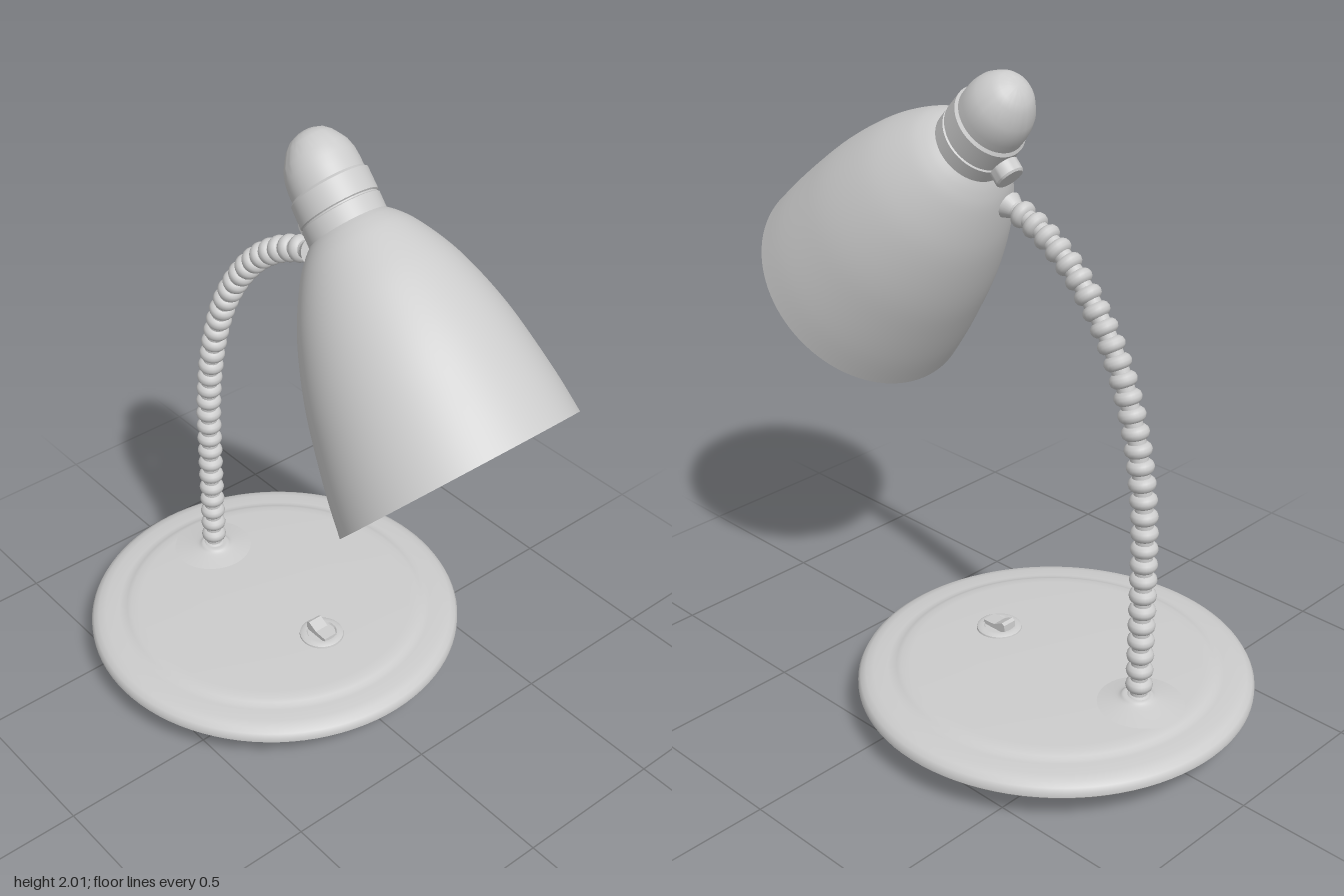
import * as THREE from 'three';
import { toCreasedNormals } from 'three/addons/utils/BufferGeometryUtils.js';

const grey = new THREE.MeshStandardMaterial({ color: 0xcccccc });
const thin = new THREE.MeshStandardMaterial({ color: 0xcccccc, side: THREE.DoubleSide });

const points = (pairs) => pairs.map(([x, y]) => new THREE.Vector2(x, y));

function add(parent, name, geometry, material = grey) {
  const mesh = new THREE.Mesh(geometry, material);
  mesh.name = name;
  parent.add(mesh);
  return mesh;
}

// Turned part with sharp edges where the profile bends strongly
function turned(pairs, segments = 64) {
  return toCreasedNormals(new THREE.LatheGeometry(points(pairs), segments), 0.6);
}

// Turned part with a flowing profile
function turnedSmooth(pairs, steps = 32, segments = 72) {
  const curve = new THREE.SplineCurve(points(pairs));
  return new THREE.LatheGeometry(curve.getPoints(steps), segments);
}

function createBase() {
  const base = new THREE.Group();
  base.name = 'base';
  base.position.x = -0.25;
  // Round plate with a rolled edge and a raised inner disc
  add(base, 'basePlate', turned([
    [0, 0.1], [0.617, 0.1], [0.625, 0.108], [0.625, 0.122], [0.617, 0.136], [0.6, 0.147],
    [0.575, 0.153], [0.53, 0.155], [0.515, 0.156], [0.503, 0.162], [0.488, 0.167],
    [0.46, 0.169], [0.25, 0.173], [0, 0.176],
  ], 96));
  // Flared foot where the stem enters the plate
  const foot = add(base, 'stemFoot', turnedSmooth(
    [[0.15, 0.168], [0.1, 0.177], [0.06, 0.186], [0.045, 0.195], [0.03, 0.196]], 16, 40));
  foot.position.x = -0.335;
  // Rocker switch in a round bezel
  const toggle = new THREE.Group();
  toggle.name = 'switch';
  toggle.position.set(0.25, 0.17, 0);
  add(toggle, 'switchBezel', turned(
    [[0.074, 0], [0.072, 0.008], [0.062, 0.014], [0.05, 0.014], [0.046, 0.008], [0, 0.008]], 40));
  const profile = new THREE.Shape(points(
    [[-0.048, 0], [0.048, 0], [0.046, 0.022], [0.0, 0.024], [-0.035, 0.042], [-0.046, 0.036]]));
  const rocker = add(toggle, 'switchRocker',
    new THREE.ExtrudeGeometry(profile, { depth: 0.05, bevelEnabled: false }));
  rocker.position.z = -0.025;
  base.add(toggle);
  return base;
}

function createStem() {
  const stem = new THREE.Group();
  stem.name = 'stem';
  const path = new THREE.CatmullRomCurve3([
    [-0.59, 0.002], [-0.59, 0.3], [-0.59, 0.6], [-0.585, 0.8], [-0.565, 0.95], [-0.535, 1.08],
    [-0.48, 1.23], [-0.4, 1.365], [-0.3, 1.48], [-0.2, 1.555], [-0.11, 1.6], [-0.045, 1.62],
  ].map(([x, y]) => new THREE.Vector3(x, y, 0)));
  add(stem, 'stemCore', new THREE.TubeGeometry(path, 80, 0.027, 16), thin);

  // Gooseneck rings threaded along the path
  const ring = new THREE.TorusGeometry(0.02, 0.022, 12, 28);
  const axis = new THREE.Vector3(0, 0, 1);
  const length = path.getLength();
  const count = Math.round(length / 0.0535);
  for (let i = 0; i < count; i++) {
    const u = (0.022 + (i / count) * (length - 0.022)) / length;
    const bead = add(stem, 'stemRing', ring);
    bead.position.copy(path.getPointAt(u));
    bead.quaternion.setFromUnitVectors(axis, path.getTangentAt(u));
  }
  // Flared open end
  const end = add(stem, 'stemEnd', new THREE.CylinderGeometry(0.042, 0.026, 0.03, 28), thin);
  end.position.copy(path.getPointAt(1)).addScaledVector(path.getTangentAt(1), -0.01);
  end.quaternion.setFromUnitVectors(new THREE.Vector3(0, 1, 0), path.getTangentAt(1));
  return stem;
}

function createHead() {
  const head = new THREE.Group();
  head.name = 'lampHead';
  // Tilted frame of the head: origin at the shade mouth, y towards the cap
  const tilt = new THREE.Matrix4().makeBasis(
    new THREE.Vector3(0.68, 0.7335, 0),
    new THREE.Vector3(-0.6735, 0.7445, -0.025),
    new THREE.Vector3(0, 0, 1),
  ).setPosition(0.6175, 1.2125, 0.022);
  const part = (name, geometry, material) => add(head, name, geometry.applyMatrix4(tilt), material);

  // Bell-shaped open shade
  part('shade', turnedSmooth([
    [0.373, 0], [0.36, 0.11], [0.34, 0.23], [0.318, 0.34], [0.29, 0.44], [0.256, 0.535],
    [0.22, 0.61], [0.178, 0.68], [0.145, 0.72], [0.118, 0.745],
  ], 40, 96), thin);
  // Lamp socket inside the shade
  part('socket', turned([[0, 0.67], [0.07, 0.67], [0.07, 0.64], [0.1, 0.64], [0.112, 0.75]]), thin);
  // Collar joining shade and cap
  part('collar', turned([
    [0.11, 0.725], [0.121, 0.74], [0.121, 0.79], [0.116, 0.793], [0.116, 0.797],
    [0.121, 0.8], [0.12, 0.865], [0.112, 0.873],
  ]));
  // Rounded end cap
  part('cap', turned([
    [0.112, 0.86], [0.112, 0.9], [0.109, 0.93], [0.1, 0.96], [0.086, 0.983], [0.073, 1.002],
    [0.055, 1.019], [0.03, 1.03], [0, 1.034],
  ]));
  // Clamping knob on the underside of the collar
  const knob = turned([
    [0.025, 0.09], [0.025, 0.122], [0.046, 0.122], [0.046, 0.158], [0.041, 0.164], [0, 0.164],
  ], 32);
  part('knob', knob.rotateZ(Math.PI / 2).translate(0, 0.817, 0));
  return head;
}

export function createModel() {
  const lamp = new THREE.Group();
  lamp.name = 'deskLamp';
  lamp.add(createBase(), createStem(), createHead());
  return lamp;
}
